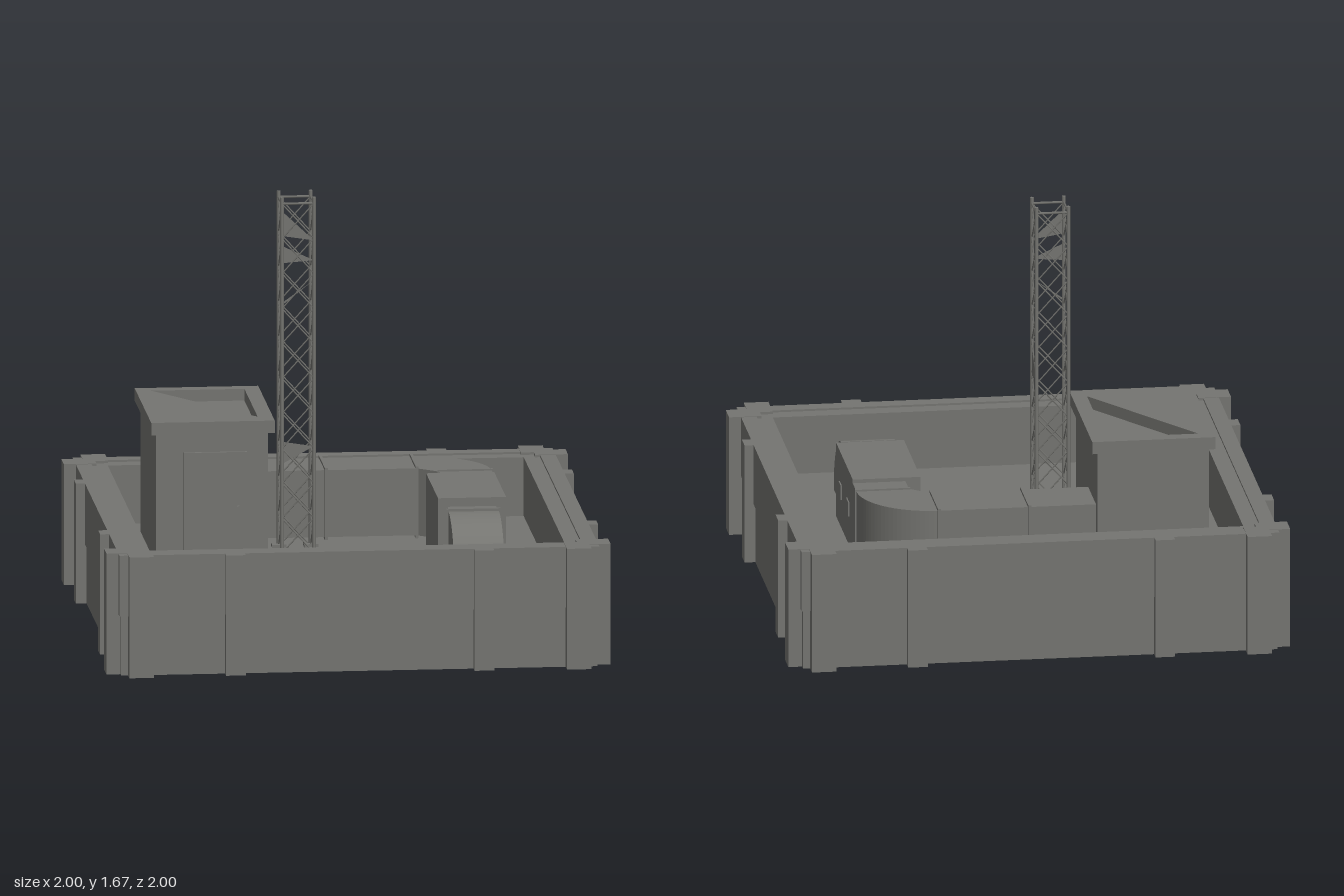
import * as THREE from 'three';

const concrete = new THREE.MeshStandardMaterial({ color: 0x757571, side: THREE.DoubleSide });
concrete.name = 'concrete grey';

const FLOOR = 0.24;
const RIM = 0.485;

export function createModel() {
  const root = new THREE.Group();
  root.name = 'rooftop';

  const add = (parent, name, geometry) => {
    const mesh = new THREE.Mesh(geometry, concrete);
    mesh.name = name;
    parent.add(mesh);
    return mesh;
  };
  const group = (name) => {
    const g = new THREE.Group();
    g.name = name;
    root.add(g);
    return g;
  };
  // Box given by its limits on each axis
  const box = (parent, name, x0, x1, y0, y1, z0, z1) => {
    const m = add(parent, name, new THREE.BoxGeometry(x1 - x0, y1 - y0, z1 - z0));
    m.position.set((x0 + x1) / 2, (y0 + y1) / 2, (z0 + z1) / 2);
    return m;
  };
  // Straight bar between two points
  const rod = (parent, name, a, b, r, sides = 4) => {
    const dir = b.clone().sub(a);
    const m = add(parent, name, new THREE.CylinderGeometry(r, r, dir.length(), sides));
    m.position.copy(a).add(b).multiplyScalar(0.5);
    m.quaternion.setFromUnitVectors(new THREE.Vector3(0, 1, 0), dir.normalize());
    return m;
  };
  // Plan outline given as (x, -z), raised from y0 to y1
  const raised = (parent, name, shape, y0, y1) => {
    const g = new THREE.ExtrudeGeometry(shape, { depth: y1 - y0, bevelEnabled: false, curveSegments: 12 });
    g.rotateX(-Math.PI / 2);
    const m = add(parent, name, g);
    m.position.y = y0;
    return m;
  };

  // Base block and roof floor
  box(root, 'base', -0.945, 0.945, 0, FLOOR, -0.945, 0.945);

  // Square parapet rings: outer wall and slightly lower inner wall
  const ring = (name, outer, inner, y0, y1) => {
    const square = (s, path) => {
      path.moveTo(-s, -s);
      path.lineTo(s, -s);
      path.lineTo(s, s);
      path.lineTo(-s, s);
      path.closePath();
      return path;
    };
    const shape = square(outer, new THREE.Shape());
    shape.holes.push(square(inner, new THREE.Path()));
    raised(root, name, shape, y0, y1);
  };
  ring('parapetOuter', 0.952, 0.89, FLOOR, RIM);
  ring('parapetInner', 0.89, 0.825, FLOOR, RIM - 0.008);

  // Pilasters, the same on all four sides
  for (let i = 0; i < 4; i++) {
    const side = group('pilasters');
    side.rotation.y = (i * Math.PI) / 2;
    for (const s of [-1, 1]) {
      const corner = box(side, 'cornerPilaster', -0.049, 0.049, 0, RIM + 0.002, 0.87, 1);
      corner.position.x = s * 0.868;
      const middle = box(side, 'middlePilaster', -0.039, 0.039, 0, RIM, 0.92, 0.988);
      middle.position.x = s * 0.493;
    }
  }

  // Stair hut with door
  const hut = group('stairHut');
  box(hut, 'hutWalls', -0.71, -0.265, FLOOR, 0.765, -0.675, -0.042);
  const cap = new THREE.Shape([[-0.73, 0.03], [-0.24, 0.03], [-0.24, 0.705], [-0.73, 0.705]].map(p => new THREE.Vector2(...p)));
  cap.holes.push(new THREE.Path([[-0.67, 0.65], [-0.3, 0.65], [-0.3, 0.11], [-0.67, 0.65]].map(p => new THREE.Vector2(...p))));
  raised(hut, 'hutRoof', cap, 0.762, 0.812);
  box(hut, 'door', -0.59, -0.36, FLOOR, 0.675, -0.043, -0.036);
  box(hut, 'doorLintel', -0.6, -0.35, 0.675, 0.688, -0.043, -0.03);
  for (const x of [-0.6, -0.36]) box(hut, 'doorJamb', x, x + 0.01, FLOOR, 0.675, -0.043, -0.032);
  box(hut, 'doorHandle', -0.39, -0.38, 0.43, 0.47, -0.037, -0.026);

  // Ventilation duct from the hut to the outlet
  const duct = group('duct');
  box(duct, 'ductRun', -0.265, 0.36, FLOOR + 0.02, 0.53, -0.63, -0.4);
  for (const x of [0, 0.36]) box(duct, 'ductFlange', x - 0.006, x + 0.006, FLOOR + 0.01, 0.54, -0.64, -0.39);
  const bend = new THREE.Shape();
  bend.moveTo(0.36, 0.63);
  bend.absarc(0.36, 0.34, 0.29, Math.PI / 2, 0, true);
  bend.lineTo(0.65, 0.23);
  bend.lineTo(0.44, 0.23);
  bend.lineTo(0.44, 0.33);
  bend.lineTo(0.36, 0.4);
  bend.closePath();
  raised(duct, 'ductBend', bend, FLOOR + 0.02, 0.53);
  box(duct, 'ductBendCollar', 0.435, 0.655, FLOOR + 0.01, 0.537, -0.34, -0.328);
  box(duct, 'fanHousing', 0.38, 0.65, FLOOR, 0.545, -0.23, 0.255);
  for (const z of [-0.1, 0.12]) box(duct, 'housingHatch', 0.645, 0.655, 0.36, 0.42, z - 0.03, z + 0.03);
  box(duct, 'outletNeck', 0.415, 0.61, FLOOR + 0.01, 0.51, 0.25, 0.35);
  box(duct, 'outletFlange', 0.405, 0.62, FLOOR, 0.52, 0.338, 0.35);

  // Outlet hood curving down to the floor
  const hood = new THREE.Shape();
  hood.moveTo(0.345, FLOOR);
  hood.lineTo(0.345, 0.51);
  hood.absarc(0.345, 0.25, 0.26, Math.PI / 2, 0, true);
  hood.lineTo(0.605, FLOOR);
  hood.closePath();
  const hoodGeometry = new THREE.ExtrudeGeometry(hood, { depth: 0.2, bevelEnabled: false, curveSegments: 14 });
  hoodGeometry.rotateY(-Math.PI / 2);
  add(duct, 'outletHood', hoodGeometry).position.x = 0.612;

  // Lattice mast
  const mast = group('mast');
  const corners = [[-0.195, -0.2], [-0.068, -0.2], [-0.068, -0.335], [-0.195, -0.335]];
  const at = (i, y) => new THREE.Vector3(corners[i % 4][0], y, corners[i % 4][1]);
  const TOP = 1.65, BAYS = 10, step = (TOP - FLOOR) / BAYS;
  for (let i = 0; i < 4; i++) {
    rod(mast, 'mastLeg', at(i, FLOOR), at(i, 1.675), 0.0075, 8);
    const [x, z] = corners[i];
    box(mast, 'footPlate', x - 0.028, x + 0.028, FLOOR, FLOOR + 0.012, z - 0.028, z + 0.028);
    rod(mast, 'topRail', at(i, TOP), at(i + 1, TOP), 0.005);
    for (let b = 0; b < BAYS; b++) {
      const y = FLOOR + b * step;
      rod(mast, 'crossBrace', at(i, y), at(i + 1, y + step), 0.0028);
      rod(mast, 'crossBrace', at(i + 1, y), at(i, y + step), 0.0028);
    }
  }

  // Triangular gusset plates on the mast: face, then heights at left, left, right
  const gussets = [[0, 0.69, 0.6, 0.67], [0, 1.24, 1.25, 1.34], [0, 1.62, 1.52, 1.5], [0, 1.48, 1.41, 1.42], [1, 0.92, 1.04, 0.98], [3, 0.9, 0.96, 1.0]];
  for (const [f, a, b, c] of gussets) {
    const g = new THREE.BufferGeometry().setFromPoints([at(f, a), at(f, b), at(f + 1, c)]);
    g.computeVertexNormals();
    add(mast, 'gussetPlate', g);
  }

  return root;
}
